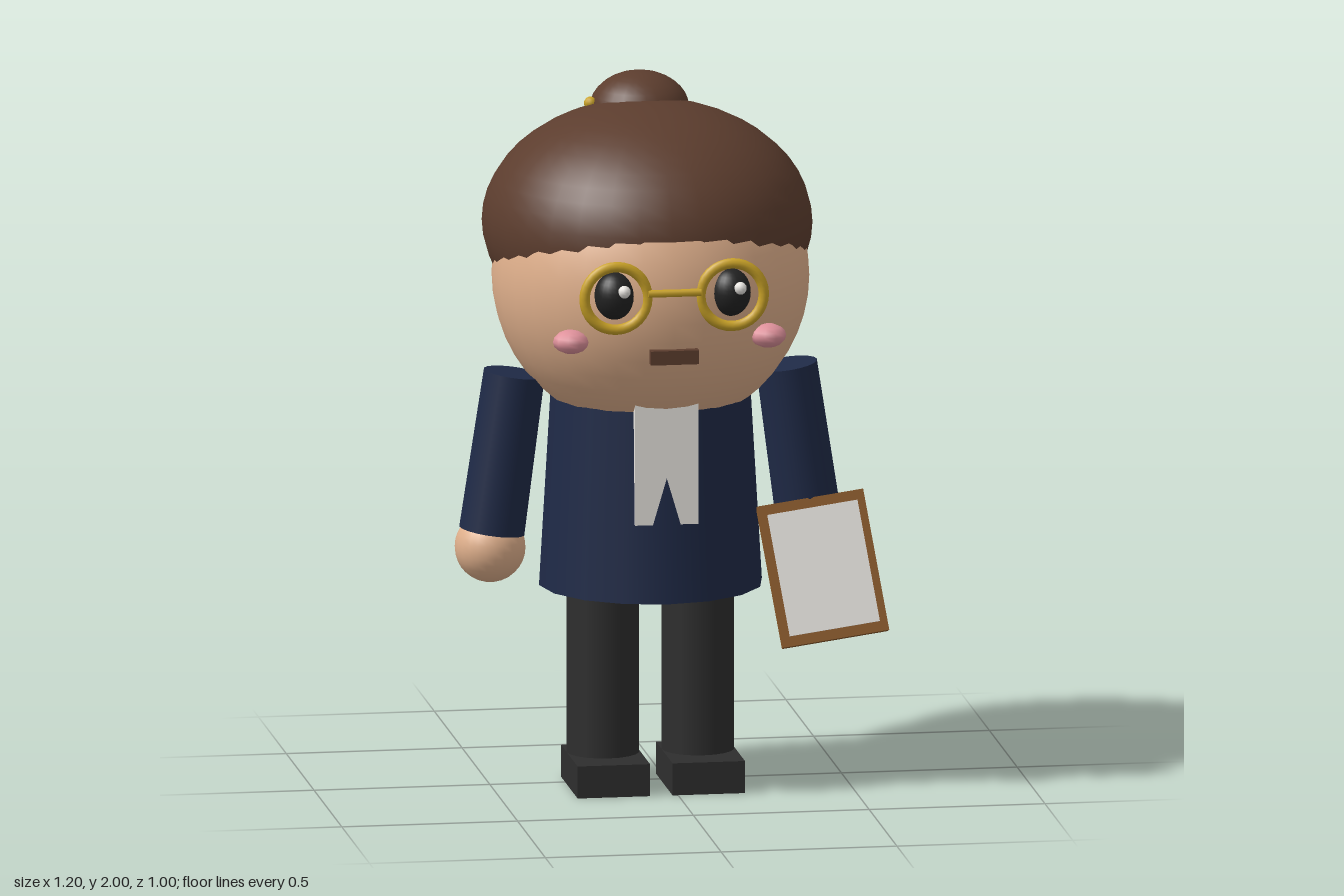
import * as THREE from 'three';

const mat = (name, color) => {
  const m = new THREE.MeshStandardMaterial({ color });
  m.name = name;
  return m;
};

export function createModel() {
  const skin = mat('skin', 0xe0b08c);
  const brown = mat('hair brown', 0x5c3d2e);
  const navy = mat('navy cloth', 0x1f2a47);
  const charcoal = mat('charcoal', 0x2e2e2e);
  const white = mat('off white', 0xf0ede8);
  const gold = mat('gold', 0xc9a227);
  const wood = mat('wood', 0x8b5a2b);
  const pink = mat('blush pink', 0xdf919b);
  const black = mat('eye black', 0x222222);

  const model = new THREE.Group();
  model.name = 'figure';

  // The figure stands a little off centre because of the clipboard
  const figure = new THREE.Group();
  figure.name = 'body';
  figure.position.set(-0.048, 0, 0.03);
  model.add(figure);

  const add = (name, geometry, material, x, y, z, parent = figure) => {
    const mesh = new THREE.Mesh(geometry, material);
    mesh.name = name;
    mesh.position.set(x, y, z);
    parent.add(mesh);
    return mesh;
  };
  const ball = (rx, ry, rz, w = 24, h = 16) =>
    new THREE.SphereGeometry(1, w, h).scale(rx, ry, rz);

  // Head, hair and bun
  add('head', ball(0.447, 0.442, 0.443, 32, 24), skin, 0, 1.46, 0);
  add('hair', ball(0.465, 0.34, 0.47, 32, 24), brown, 0, 1.6, -0.06);
  add('bun', ball(0.141, 0.107, 0.141), brown, 0, 1.893, -0.197);
  add('hairPin', ball(0.018, 0.018, 0.018, 10, 8), gold, -0.142, 1.915, -0.185);

  // Coat, tapered towards the neck, with a flat neckcloth the coat front partly covers
  add('coat', new THREE.CylinderGeometry(0.285, 0.317, 0.545, 16), navy, 0, 0.8475, 0);
  add('neckcloth', new THREE.BoxGeometry(0.18, 0.345, 0.03), white, 0, 0.972, 0.281);

  // Mouth and bridge of the glasses
  add('mouth', new THREE.BoxGeometry(0.137, 0.04, 0.03), brown, 0, 1.31, 0.43);
  add('glassesBridge', new THREE.CylinderGeometry(0.011, 0.011, 0.15, 10).rotateZ(Math.PI / 2),
    gold, 0, 1.495, 0.438);

  for (const [side, s] of [['left', 1], ['right', -1]]) {
    // Face details
    add(side + 'Eye', ball(0.057, 0.068, 0.055), black, s * 0.165, 1.485, 0.4);
    add(side + 'EyeGlint', ball(0.018, 0.018, 0.018, 10, 8), white, s * 0.165 + 0.02, 1.505, 0.45);
    add(side + 'GlassesRim', new THREE.TorusGeometry(0.09, 0.015, 10, 32), gold, s * 0.165, 1.483, 0.428);
    add(side + 'Cheek', ball(0.052, 0.034, 0.05, 10, 8), pink, s * 0.28, 1.345, 0.345);

    // Arm with hand
    const sleeve = add(side + 'Sleeve', new THREE.CylinderGeometry(0.087, 0.093, 0.455, 20), navy,
      s * 0.419, 0.962, 0);
    sleeve.rotation.z = s * 0.141;
    add(side + 'Hand', ball(0.1, 0.1, 0.1), skin, s * 0.456, 0.69, 0);

    // Leg with shoe
    add(side + 'Leg', new THREE.CylinderGeometry(0.103, 0.103, 0.52, 20), charcoal, s * 0.135, 0.34, 0);
    add(side + 'Shoe', new THREE.BoxGeometry(0.206, 0.092, 0.297), charcoal, s * 0.135, 0.046, 0.048);
  }

  // Clipboard held in the left hand, tipped back and rolled slightly
  const clipboard = new THREE.Group();
  clipboard.name = 'clipboard';
  clipboard.position.set(0.42, 0.624, 0.167);
  clipboard.rotation.set(-0.32, 0, 0.135);
  model.add(clipboard);
  add('board', new THREE.BoxGeometry(0.305, 0.405, 0.035), wood, 0, 0, 0, clipboard);
  add('paper', new THREE.BoxGeometry(0.26, 0.348, 0.006), white, 0, 0, 0.0195, clipboard);

  return model;
}
